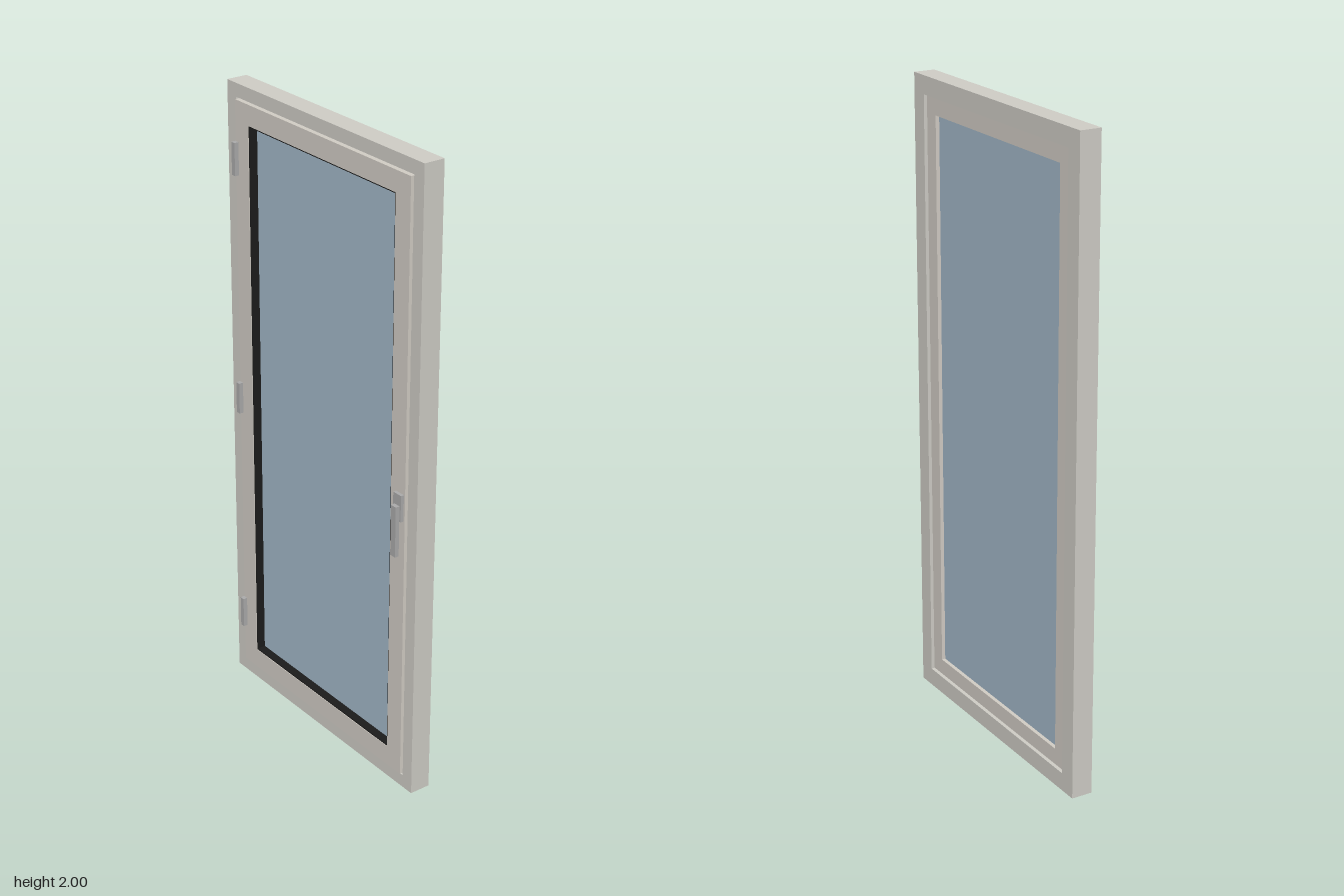
import * as THREE from 'three';

const W = 0.907, H = 2;
const mat = (color) => new THREE.MeshStandardMaterial({ color });
const frameMat = mat(0xcfcdc6), sashMat = mat(0xd2cdc5), sealMat = mat(0x1c1c1c);
const glassMat = mat(0xa3b8c8), metalMat = mat(0xababab);

// Rectangle inset from the overall outline by a margin
function rect(Type, m) {
  const x = W / 2 - m;
  return new Type([[-x, m], [x, m], [x, H - m], [-x, H - m]].map(([a, b]) => new THREE.Vector2(a, b)));
}

// Rectangular ring between two margins, from z0 to z1
function ring(name, material, outer, inner, z0, z1) {
  const shape = rect(THREE.Shape, outer);
  shape.holes.push(rect(THREE.Path, inner));
  const geo = new THREE.ExtrudeGeometry(shape, { depth: z1 - z0, bevelEnabled: false });
  geo.translate(0, 0, z0);
  const mesh = new THREE.Mesh(geo, material);
  mesh.name = name;
  return mesh;
}

// Box given by its limits on each axis
function box(name, material, x0, x1, y0, y1, z0, z1) {
  const mesh = new THREE.Mesh(new THREE.BoxGeometry(x1 - x0, y1 - y0, z1 - z0), material);
  mesh.position.set((x0 + x1) / 2, (y0 + y1) / 2, (z0 + z1) / 2);
  mesh.name = name;
  return mesh;
}

export function createModel() {
  const model = new THREE.Group();
  model.name = 'glazedDoor';

  // Fixed frame: rear lip and wider front rebate
  const frame = new THREE.Group();
  frame.name = 'outerFrame';
  frame.add(
    ring('frameLip', frameMat, 0, 0.057, -0.049, -0.012),
    ring('frameRebate', frameMat, 0, 0.042, -0.012, 0.0185),
  );

  // Opening sash, stepped to sit in the rebate
  const sash = new THREE.Group();
  sash.name = 'sash';
  sash.add(
    ring('sashFront', sashMat, 0.047, 0.111, -0.006, 0.025),
    ring('sashBack', sashMat, 0.06, 0.111, -0.04, -0.006),
    ring('sashSeal', sealMat, 0.042, 0.06, -0.012, -0.006),
    ring('glazingSeal', sealMat, 0.11, 0.115, -0.004, 0.023),
    box('glassPane', glassMat, -0.343, 0.343, 0.11, 1.89, -0.028, -0.004),
  );

  // Hinges along the right-hand edge
  const hinges = new THREE.Group();
  hinges.name = 'hinges';
  for (const y of [0.23, 1.0, 1.775]) {
    hinges.add(box('hinge', metalMat, -0.409, -0.393, y - 0.051, y + 0.051, 0.0185, 0.039));
  }

  // Handle: backplate and hanging lever
  const handle = new THREE.Group();
  handle.name = 'handle';
  handle.add(
    box('handlePlate', metalMat, 0.366, 0.401, 0.915, 1.0, 0.024, 0.0355),
    box('handleLever', metalMat, 0.373, 0.395, 0.802, 0.965, 0.0355, 0.049),
  );

  model.add(frame, sash, hinges, handle);
  return model;
}
